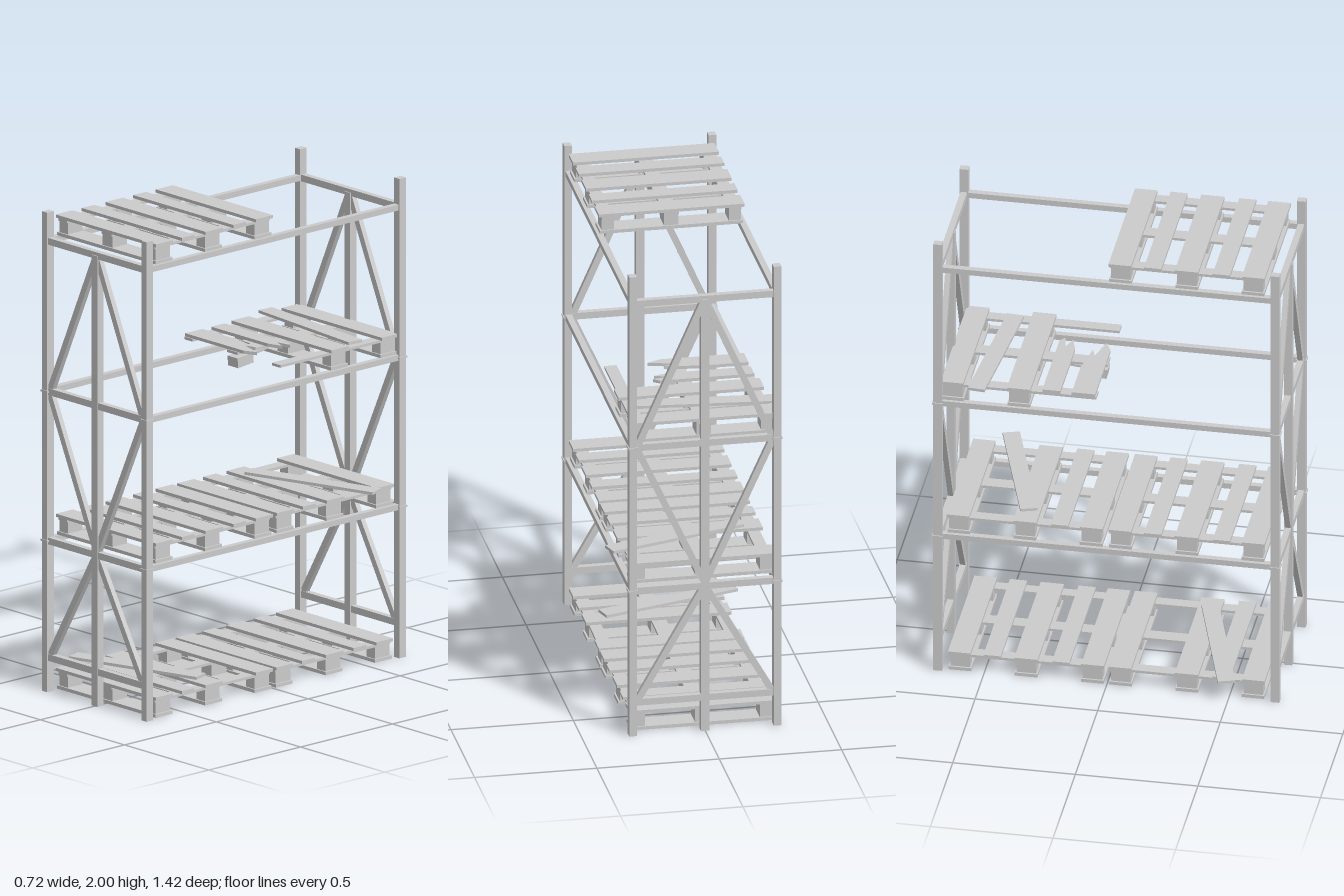
import * as THREE from 'three';

const mat = new THREE.MeshStandardMaterial({ color: 0xcccccc, flatShading: true });

function box(parent, name, w, h, d, x, y, z) {
  const m = new THREE.Mesh(new THREE.BoxGeometry(w, h, d), mat);
  m.name = name;
  m.position.set(x, y, z);
  parent.add(m);
  return m;
}

// square bar in the plane of an end frame, from (x0,y0) to (x1,y1)
function brace(parent, x0, y0, x1, y1, z) {
  const len = Math.hypot(x1 - x0, y1 - y0);
  const m = box(parent, 'diagonalBrace', 0.027, len, 0.022, (x0 + x1) / 2, (y0 + y1) / 2, z);
  m.rotation.z = -Math.atan2(x1 - x0, y1 - y0);
}

// flat plank cut from an outline in x and z
function plank(parent, name, points, y, t = 0.013) {
  const shape = new THREE.Shape(points.map(([x, z]) => new THREE.Vector2(x, -z)));
  const geo = new THREE.ExtrudeGeometry(shape, { depth: t, bevelEnabled: false });
  geo.rotateX(-Math.PI / 2);
  const m = new THREE.Mesh(geo, mat);
  m.name = name;
  m.position.y = y;
  parent.add(m);
  return m;
}

const DECK = [[0.272, 0.092], [0.142, 0.07], [0, 0.095], [-0.138, 0.07], [-0.272, 0.092]];
const COLUMNS = [[-0.26, 0.05], [0, 0.06], [0.26, 0.05]];
const ROWS = [0.27, 0, -0.27];

// pallet: foot boards, blocks, stringers and deck boards; skip lists leave parts out
function pallet(parent, y, z, { skipDeck = [], skipRows = [] } = {}) {
  const g = new THREE.Group();
  g.name = 'pallet';
  g.position.set(0, y, z);
  parent.add(g);
  ROWS.forEach((rz, i) => {
    if (skipRows.includes(i)) return;
    box(g, 'footBoard', 0.585, 0.014, 0.092, 0, 0.007, rz);
    for (const [x, w] of COLUMNS) box(g, 'block', w, 0.048, 0.08, x, 0.038, rz);
  });
  for (const [x, w] of COLUMNS) box(g, 'stringer', w, 0.011, 0.63, x, 0.0675, 0);
  DECK.forEach(([dz, w], i) => {
    if (!skipDeck.includes(i)) box(g, 'deckBoard', 0.595, 0.013, w, 0, 0.0795, dz);
  });
  return g;
}

function looseBoard(parent, x, y, z, angle) {
  box(parent, 'looseBoard', 0.595, 0.012, 0.07, x, y, z).rotation.y = angle;
}

export function createModel() {
  const root = new THREE.Group();
  root.name = 'palletRack';

  // rack frame
  const frame = new THREE.Group();
  frame.name = 'rackFrame';
  root.add(frame);
  const levels = [0.63, 1.253, 1.88];
  for (const s of [-1, 1]) {
    const z = 0.688 * s;
    for (const x of [-0.295, 0.295]) {
      box(frame, 'cornerPost', 0.031, 2, 0.036, x, 1, z);
      for (const y of levels.slice(0, 2)) box(frame, 'jointPin', 0.04, 0.008, 0.044, x, y, z);
    }
    box(frame, 'middlePost', 0.034, 1.88, 0.034, 0, 0.94, z);
    for (const y of [0.144, ...levels]) box(frame, 'crossBeam', 0.57, 0.028, 0.026, 0, y, z);
    for (const m of [-1, 1]) {
      brace(frame, 0, 1.88, 0.272 * m, 1.265, z);
      brace(frame, 0.277 * m, 1.245, 0, 0.64, z);
      brace(frame, 0, 0.63, 0.275 * m, 0.15, z);
    }
    for (const y of levels) box(frame, 'sideRail', 0.026, 0.024, 1.35, 0.293 * s, y, 0);
  }

  // pallets from the floor up
  pallet(root, 0, 0.325, { skipDeck: [3] });
  pallet(root, 0, -0.33);
  looseBoard(root, -0.065, 0.098, 0.413, 0.29);
  pallet(root, 0.643, 0.325);
  pallet(root, 0.643, -0.335, { skipDeck: [3] });
  looseBoard(root, 0.07, 0.736, -0.42, 0.3);
  pallet(root, 1.891, 0.325);

  // broken pallet on the third level
  const broken = pallet(root, 1.265, -0.36, { skipDeck: [0, 1, 3], skipRows: [0] });
  broken.name = 'brokenPallet';
  plank(broken, 'brokenBoard', [[-0.285, 0.215], [-0.09, 0.215], [0.055, 0.24], [0.01, 0.255],
    [0.115, 0.285], [0.06, 0.31], [-0.285, 0.31]], 0.073);
  plank(broken, 'brokenBoard', [[-0.285, 0.095], [0.1, 0.095], [0.125, 0.115], [0.06, 0.128],
    [0.115, 0.148], [0.05, 0.168], [-0.285, 0.168]], 0.073);
  looseBoard(root, -0.033, 1.347, -0.5, -0.09);
  // hanging block on a snapped strip of wood
  const hanging = new THREE.Group();
  hanging.name = 'hangingBlock';
  hanging.position.set(0, 0.062, 0.13);
  hanging.rotation.x = 0.1;
  broken.add(hanging);
  box(hanging, 'block', 0.06, 0.036, 0.085, 0, -0.02, 0.142);
  plank(hanging, 'splinter', [[-0.03, 0.185], [-0.03, 0.02], [0, 0.05], [0.015, 0], [0.03, 0.04], [0.03, 0.185]], -0.006, 0.01);
  return root;
}
